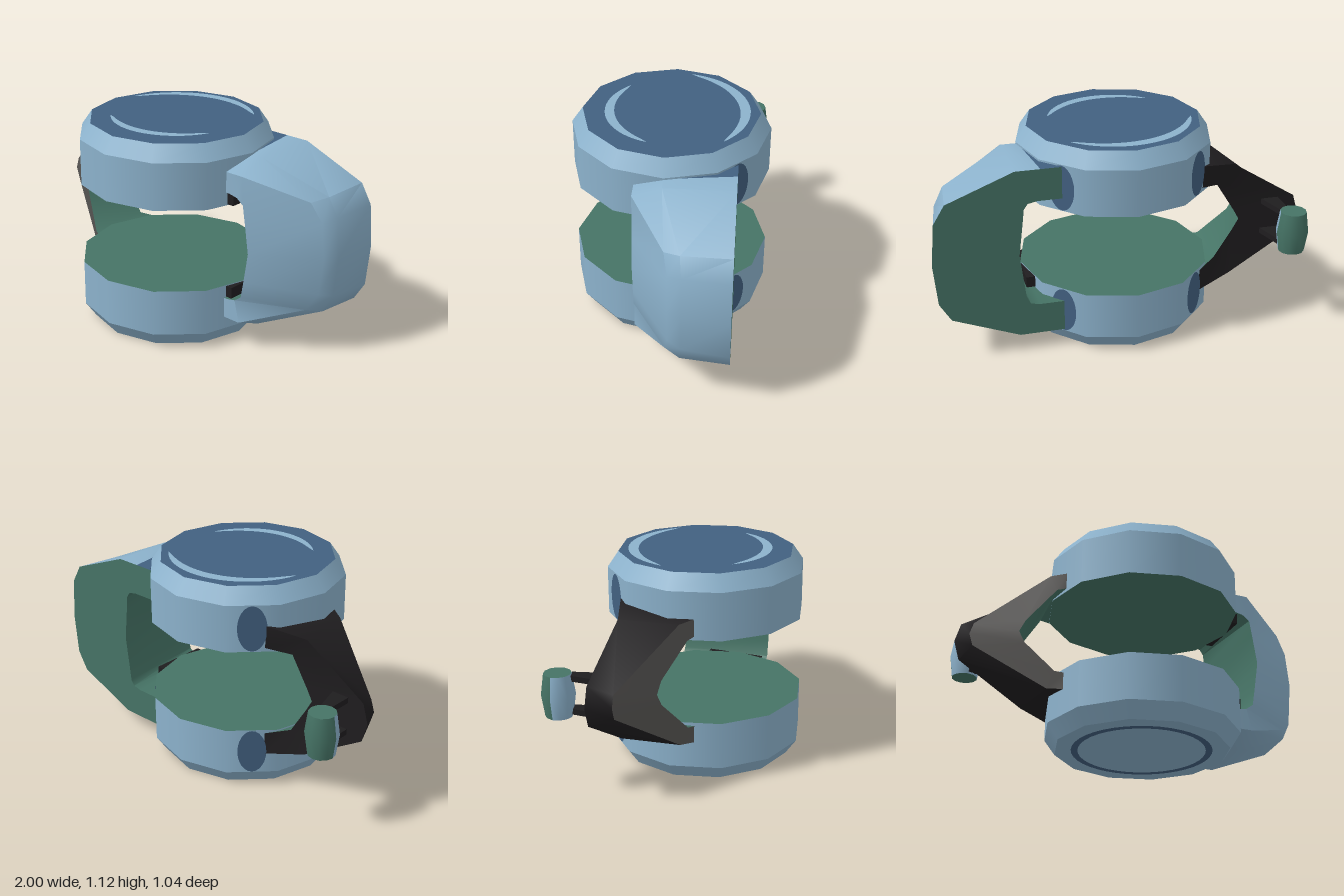
import * as THREE from 'three';
import { toCreasedNormals } from 'three/addons/utils/BufferGeometryUtils.js';

const CX = -0.02, MID = 0.556, H = 1.112;

function mat(name, color, side = THREE.FrontSide) {
  const m = new THREE.MeshStandardMaterial({ color, side });
  m.name = name;
  return m;
}

export function createModel() {
  const root = new THREE.Group();
  root.name = 'discClamp';
  const blue = mat('light blue', 0x8cb2cc);
  const navy = mat('dark blue', 0x426080, THREE.DoubleSide);
  const green = mat('green', 0x467466);
  const black = mat('black', 0x1f1d1f);
  const grey = mat('grey', 0x585654);

  const add = (parent, name, geo, material, x = 0, y = 0, z = 0) => {
    const m = new THREE.Mesh(geo, material);
    m.name = name;
    m.position.set(x, y, z);
    parent.add(m);
    return m;
  };
  const group = (name) => {
    const g = new THREE.Group();
    g.name = name;
    root.add(g);
    return g;
  };

  // Twelve-sided discs: straight wall, bevelled outer rim, coloured caps
  for (const up of [true, false]) {
    const g = group(up ? 'upperDisc' : 'lowerDisc');
    add(g, 'wall', new THREE.CylinderGeometry(0.52, 0.52, 0.25, 12, 1, true), blue, CX, up ? 0.905 : 0.207);
    add(g, 'bevel', new THREE.CylinderGeometry(up ? 0.463 : 0.52, up ? 0.52 : 0.463, 0.082, 12, 1, true), blue, CX, up ? 1.071 : 0.041);
    const cap = (name, r, material, y, faceUp) => {
      const geo = new THREE.CircleGeometry(r, 12, Math.PI / 2).rotateX(faceUp ? -Math.PI / 2 : Math.PI / 2);
      add(g, name, geo, material, CX, y);
    };
    cap('outerCap', 0.463, up ? navy : blue, up ? H : 0, up);
    cap('innerCap', 0.52, green, up ? 0.78 : 0.332, !up);
  }

  // Tapered arc highlights on the top cap
  const crescent = (r, w, a0, a1) => {
    const s = new THREE.Shape(), n = 20;
    for (let i = 0; i <= n; i++) {
      const a = a0 + (a1 - a0) * i / n;
      s.lineTo(r * Math.cos(a), r * Math.sin(a));
    }
    for (let i = n; i >= 0; i--) {
      const a = a0 + (a1 - a0) * i / n, q = r - w * Math.pow(Math.sin(Math.PI * i / n), 0.6);
      s.lineTo(q * Math.cos(a), q * Math.sin(a));
    }
    s.curves.shift();
    return new THREE.ShapeGeometry(s).rotateX(-Math.PI / 2);
  };
  add(root, 'upperHighlight', crescent(0.41, 0.055, 0.75, 2.95), blue, CX, H + 0.004);
  add(root, 'lowerHighlight', crescent(0.345, 0.05, 3.9, 6.0), blue, CX, H + 0.004);
  add(root, 'baseRing', new THREE.RingGeometry(0.335, 0.37, 40).rotateX(Math.PI / 2), navy, CX, -0.001);

  // Dark contact patches on the disc walls beside the arm and bracket
  for (const s of [1, -1]) {
    for (const y of [0.905, 0.207]) {
      const p = add(root, 'contactPatch', new THREE.CircleGeometry(1, 24), navy,
        CX + s * 0.357, y, -0.357);
      p.scale.set(0.075, 0.122, 1);
      p.rotation.y = s * Math.PI * 0.75;
    }
  }

  // Strip lofted between two neighbouring section points along all stations
  const strip = (stations, j, i0, i1, flip) => {
    const pos = [], n = stations[0].length;
    for (let i = i0; i < i1; i++) {
      const a = stations[i][j], b = stations[i][(j + 1) % n];
      const c = stations[i + 1][(j + 1) % n], d = stations[i + 1][j];
      const tris = flip ? [a, c, b, a, d, c] : [a, b, c, a, c, d];
      for (const p of tris) pos.push(...p);
    }
    return pos;
  };
  const loft = (parent, name, stations, js, material, flip, i0 = 0, i1 = stations.length - 1) => {
    const geo = new THREE.BufferGeometry();
    const pos = js.flatMap((j) => strip(stations, j, i0, i1, flip));
    geo.setAttribute('position', new THREE.Float32BufferAttribute(pos, 3));
    add(parent, name, toCreasedNormals(geo, 0.7), material);
  };
  // Complete the half path by reflecting it about mid height
  const mirrored = (half) => [
    ...half,
    ...half.slice(0, -1).reverse().map((s) => s.map(([x, y, z]) => [x, H - y, z])),
  ];

  // Left arm; section order: outer back, outer front, shoulder, inner front, inner back
  const arm = group('leftArm');
  const armPath = mirrored([
    [[0.32, 1.02, -0.36], [0.36, 1.02, 0], [0.38, 0.96, 0.15], [0.38, 0.85, 0.15], [0.32, 0.85, -0.36]],
    [[0.44, 1.02, -0.36], [0.49, 1.02, 0], [0.48, 0.96, 0.15], [0.48, 0.85, 0.15], [0.46, 0.85, -0.36]],
    [[0.57, 1.02, -0.36], [0.57, 1.02, 0], [0.56, 0.96, 0.15], [0.53, 0.84, 0.15], [0.51, 0.84, -0.36]],
    [[0.92, 0.88, -0.36], [0.90, 0.87, -0.11], [0.85, 0.85, -0.03], [0.57, 0.81, 0.15], [0.53, 0.81, -0.36]],
    [[0.98, 0.78, -0.36], [0.95, 0.77, -0.12], [0.91, 0.75, -0.05], [0.585, 0.72, 0.15], [0.54, 0.72, -0.36]],
    [[1.00, MID, -0.36], [0.97, MID, -0.12], [0.93, MID, -0.05], [0.61, MID, 0.15], [0.56, MID, -0.36]],
  ]);
  const last = armPath.length - 1;
  loft(arm, 'shell', armPath, [0, 1, 2], blue, false, 1, last - 1);
  loft(arm, 'shellTopRoot', armPath, [1, 2], blue, false, 0, 1);
  loft(arm, 'shellBottomRoot', armPath, [1, 2], blue, false, last - 1, last);
  loft(arm, 'topShade', armPath, [0], navy, false, 0, 1);
  loft(arm, 'bottomShade', armPath, [0], navy, false, last - 1, last);
  loft(arm, 'innerWallAndBack', armPath, [3, 4], green, false);
  for (const y of [0.815, H - 0.815]) {
    add(arm, 'stopBlock', new THREE.BoxGeometry(0.06, 0.06, 0.32), black, 0.47, y, -0.02);
  }

  // Right V bracket; section order: outer back, outer front, inner front, inner back
  const bracket = group('rightBracket');
  const path = mirrored([
    [[-0.42, 0.92, -0.31], [-0.50, 0.89, 0.13], [-0.50, 0.80, 0.13], [-0.42, 0.80, -0.31]],
    [[-0.62, 0.88, -0.23], [-0.58, 0.88, 0.08], [-0.55, 0.79, 0.11], [-0.53, 0.77, -0.23]],
    [[-0.97, 0.66, -0.23], [-0.93, 0.62, -0.11], [-0.69, 0.62, 0.03], [-0.63, 0.61, -0.23]],
    [[-1.00, MID, -0.23], [-0.95, MID, -0.11], [-0.72, MID, 0.02], [-0.66, MID, -0.23]],
  ]);
  loft(bracket, 'outerEdgeAndBack', path, [0, 3], black, true);
  loft(bracket, 'frontFace', path, [1], grey, true);
  loft(bracket, 'innerWall', path, [2], green, true);

  // Fork holding the knob: two tapered prongs
  const prong = new THREE.Shape([
    [-0.88, 0.21], [-0.78, 0.21], [-0.83, 0.38], [-0.88, 0.38],
  ].map(([x, y]) => new THREE.Vector2(x, y)));
  for (const y of [0.63, 0.455]) {
    const geo = new THREE.ExtrudeGeometry(prong, { depth: 0.03, bevelEnabled: false });
    add(bracket, 'forkProng', geo.rotateX(-Math.PI / 2), black, 0, y);
  }

  // Barrel-shaped knob, blue towards the bracket and green behind
  const knob = group('knob');
  knob.position.set(-0.885, MID, -0.432);
  const barrel = [[0.069, -0.112], [0.085, 0], [0.069, 0.112]].map(([x, y]) => new THREE.Vector2(x, y));
  add(knob, 'frontHalf', new THREE.LatheGeometry(barrel, 6, -Math.PI / 2, Math.PI), blue);
  add(knob, 'backHalf', new THREE.LatheGeometry(barrel, 6, Math.PI / 2, Math.PI), green);
  for (const s of [1, -1]) {
    add(knob, 'knobCap', new THREE.CircleGeometry(0.069, 12).rotateX(-s * Math.PI / 2), green, 0, s * 0.112);
  }
  return root;
}
